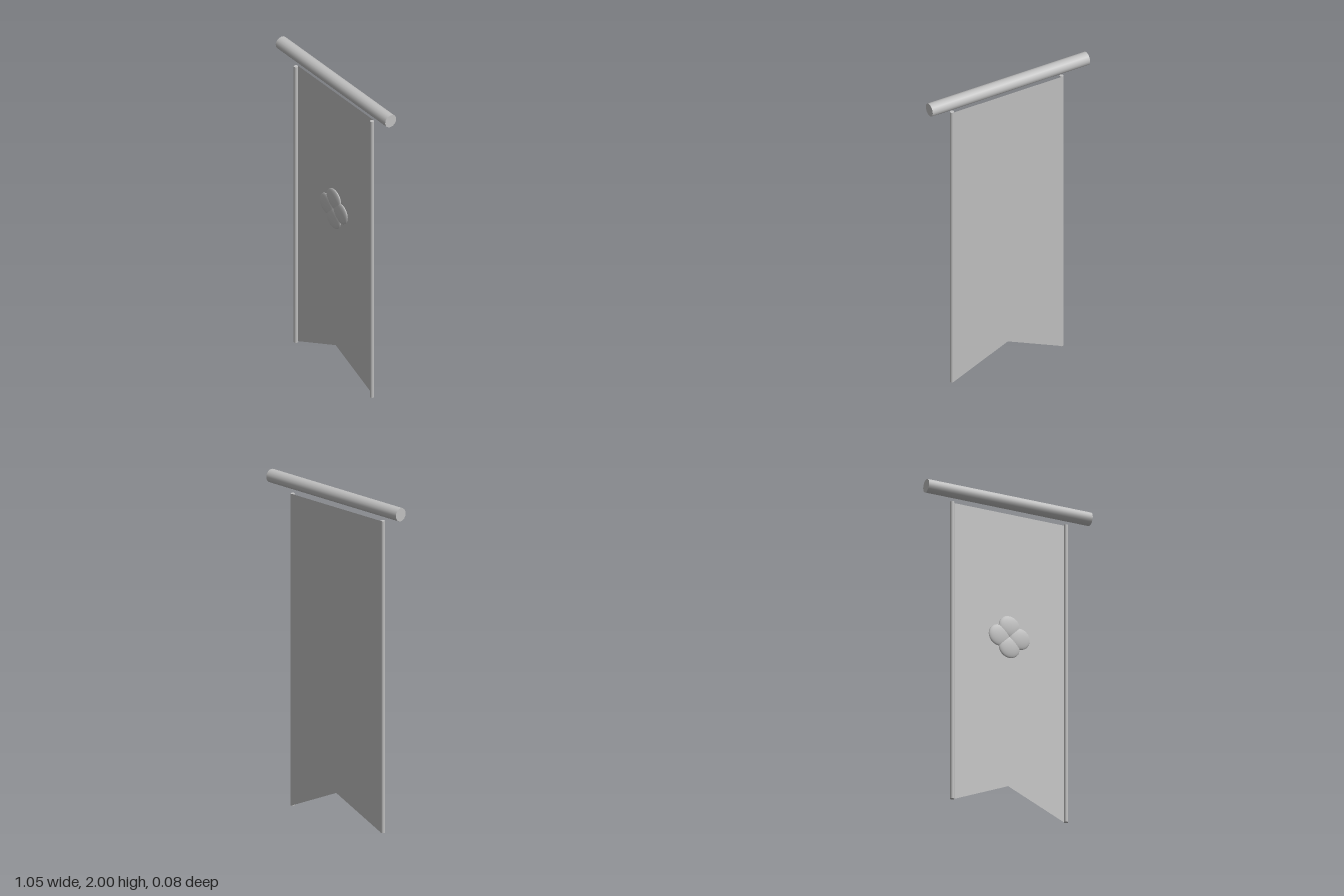
import * as THREE from 'three';

export function createModel() {
  const group = new THREE.Group();
  group.name = 'hangingBanner';

  const grey = new THREE.MeshStandardMaterial({ color: 0xc0c0c0, side: THREE.DoubleSide });
  grey.name = 'grey';

  function add(name, geometry, x, y, z) {
    const mesh = new THREE.Mesh(geometry, grey);
    mesh.name = name;
    mesh.position.set(x, y, z);
    group.add(mesh);
    return mesh;
  }

  // Horizontal rod above the cloth
  const rod = new THREE.CylinderGeometry(0.04, 0.04, 1.046, 16);
  rod.rotateZ(Math.PI / 2);
  add('rod', rod, 0, 1.96, 0);

  // Flat cloth with a swallowtail notch
  const top = 1.885;
  const half = 0.365;
  const outline = new THREE.Shape([
    new THREE.Vector2(-half, 0),
    new THREE.Vector2(0, 0.16),
    new THREE.Vector2(half, 0),
    new THREE.Vector2(half, top),
    new THREE.Vector2(-half, top),
  ]);
  add('cloth', new THREE.ShapeGeometry(outline), 0, 0, 0.002);

  // Round trim along both side edges
  const trim = new THREE.CylinderGeometry(0.0125, 0.0125, top, 10);
  for (const side of [-1, 1]) {
    add(side > 0 ? 'leftTrim' : 'rightTrim', trim, side * 0.364, top / 2, 0.0145);
  }

  // Four flattened petals form the emblem
  const petal = new THREE.SphereGeometry(0.067, 24, 16);
  petal.scale(1, 1, 0.19);
  const petals = [
    ['topPetal', 0, 1], ['leftPetal', 1, 0],
    ['rightPetal', -1, 0], ['bottomPetal', 0, -1],
  ];
  for (const [name, dx, dy] of petals) {
    add(name, petal, dx * 0.064, 1.1 + dy * 0.065, 0.0155);
  }

  return group;
}
